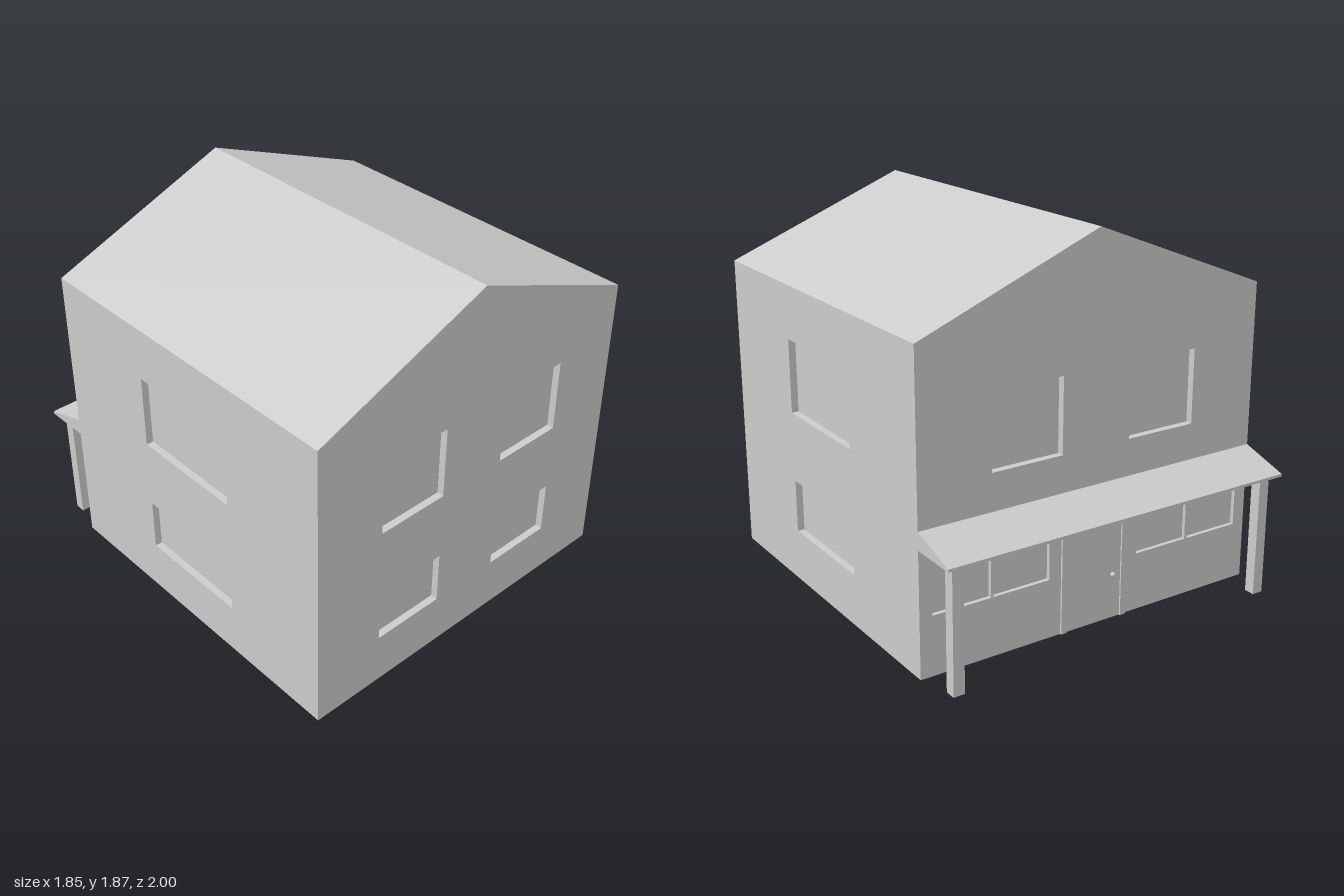
import * as THREE from 'three';

const W = 0.925, EAVE = 1.505, RIDGE = 1.87, FRONT = 1, BACK = -0.76;
const MID = (FRONT + BACK) / 2, T = 0.035;
const mat = new THREE.MeshStandardMaterial({ color: 0xcccccc, flatShading: true });
const smooth = new THREE.MeshStandardMaterial({ color: 0xcccccc });

function add(parent, name, geo, x = 0, y = 0, z = 0, m = mat) {
  const mesh = new THREE.Mesh(geo, m);
  mesh.name = name;
  mesh.position.set(x, y, z);
  parent.add(mesh);
  return mesh;
}

// box given by its limits
function block(parent, name, x0, x1, y0, y1, z0, z1) {
  return add(parent, name, new THREE.BoxGeometry(x1 - x0, y1 - y0, z1 - z0),
    (x0 + x1) / 2, (y0 + y1) / 2, (z0 + z1) / 2);
}

function polygon(points) {
  return new THREE.Shape(points.map(p => new THREE.Vector2(...p)));
}

// wall panel with window openings; its outer face lies on local z = 0
function wall(name, outline, windows) {
  const group = new THREE.Group();
  group.name = name;
  const shape = polygon(outline);
  for (const { x0, x1, y0, y1, depth = T, mullion } of windows) {
    shape.holes.push(new THREE.Path(
      [[x0, y0], [x0, y1], [x1, y1], [x1, y0]].map(p => new THREE.Vector2(...p))));
    block(group, 'windowPane', x0, x1, y0, y1, -T - 0.01, -depth);
    if (mullion) {
      const c = (x0 + x1) / 2;
      block(group, 'windowMullion', c - 0.007, c + 0.007, y0, y1, -depth, -0.002);
    }
  }
  add(group, name + 'Panel', new THREE.ExtrudeGeometry(shape, { depth: T, bevelEnabled: false }), 0, 0, -T);
  return group;
}

export function createModel() {
  const house = new THREE.Group();
  house.name = 'house';

  const upper = { y0: 0.875, y1: 1.24 }, lower = { y0: 0.26, y1: 0.525 };
  const pair = (a, b, rest) => [{ x0: a, x1: b, ...rest }, { x0: -b, x1: -a, ...rest }];
  const gable = [[-W, 0], [W, 0], [W, EAVE], [0, RIDGE], [-W, EAVE]];

  // gable walls
  const front = wall('frontWall', gable, [...pair(0.185, 0.557, upper), ...pair(0.185, 0.557, lower)]);
  front.position.z = FRONT;
  const back = wall('backWall', gable, [...pair(0.185, 0.557, upper),
    ...pair(0.25, 0.86, { y0: 0.29, y1: 0.485, depth: 0.02, mullion: true })]);
  back.position.z = BACK;
  back.rotation.y = Math.PI;
  house.add(front, back);

  // side walls, fitted between the gable walls
  const half = (FRONT - BACK) / 2 - T;
  for (const s of [1, -1]) {
    const side = wall(s > 0 ? 'leftWall' : 'rightWall',
      [[-half, 0], [half, 0], [half, EAVE], [-half, EAVE]],
      [upper, lower].map(r => ({ x0: -0.293, x1: 0.293, ...r })));
    side.position.set(s * W, 0, MID);
    side.rotation.y = s * Math.PI / 2;
    house.add(side);
  }

  // floor and pitched roof
  block(house, 'floor', -W + T, W - T, 0, 0.02, BACK + T, FRONT - T);
  add(house, 'roof', new THREE.ExtrudeGeometry(
    polygon([[-W, EAVE], [-W + 0.09, EAVE], [0, RIDGE - T], [W - 0.09, EAVE], [W, EAVE], [0, RIDGE]]),
    { depth: 2 * half, bevelEnabled: false }), 0, 0, BACK + T);

  // porch roof: wedge profile swept across the back
  const porch = new THREE.Group();
  porch.name = 'porch';
  house.add(porch);
  const wedge = new THREE.ExtrudeGeometry(
    polygon([[0, 0.61], [0.24, 0.606], [0.24, 0.62], [0, 0.695]]),
    { depth: 2 * W, bevelEnabled: false });
  add(porch, 'porchRoof', wedge, -W, 0, BACK).rotation.y = Math.PI / 2;
  for (const s of [1, -1]) {
    const x = s * 0.855;
    block(porch, 'porchPost', x - 0.028, x + 0.028, 0, 0.608, -0.96, -0.905);
  }

  // back door with frame and knob
  const door = new THREE.Group();
  door.name = 'backDoor';
  house.add(door);
  block(door, 'doorLeaf', -0.155, 0.155, 0, 0.495, BACK - 0.002, BACK + 0.01);
  for (const s of [1, -1]) {
    block(door, 'doorJamb', s * 0.17 - 0.015, s * 0.17 + 0.015, 0, 0.495, BACK - 0.01, BACK + 0.01);
  }
  block(door, 'doorHead', -0.185, 0.185, 0.495, 0.525, BACK - 0.01, BACK + 0.01);
  add(door, 'doorKnob', new THREE.SphereGeometry(0.013, 20, 14), -0.105, 0.225, BACK - 0.013, smooth);

  return house;
}
